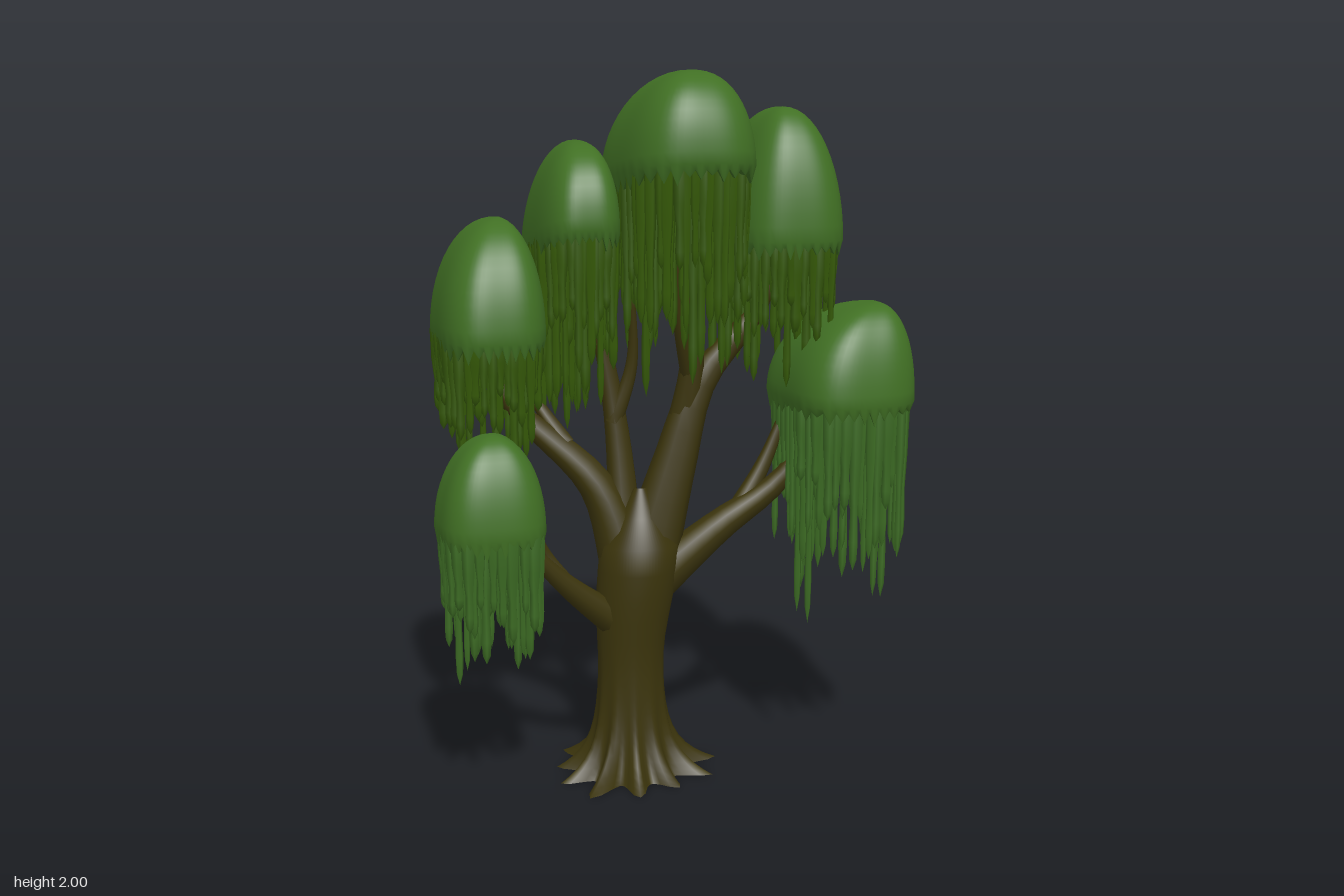
import * as THREE from 'three';
import { mergeGeometries } from 'three/addons/utils/BufferGeometryUtils.js';

const mat = (name, color) => {
  const m = new THREE.MeshStandardMaterial({ color });
  m.name = name;
  return m;
};

// Small seeded generator for strand lengths and wobble
function seeded(seed) {
  let s = seed * 7919 + 17;
  return () => (s = (s * 16807) % 2147483647) / 2147483647;
}

// Skin a list of closed rings, ordered so that faces point outward
function loft(rings) {
  const n = rings[0].length, idx = [];
  for (let i = 0; i < rings.length - 1; i++) {
    for (let j = 0; j < n; j++) {
      const a = i * n + j, b = i * n + (j + 1) % n;
      idx.push(a, b, a + n, b, b + n, a + n);
    }
  }
  const g = new THREE.BufferGeometry();
  g.setAttribute('position', new THREE.Float32BufferAttribute(rings.flat(2), 3));
  g.setIndex(idx);
  g.computeVertexNormals();
  return g;
}

const ring = (n, fn) => Array.from({ length: n }, (_, j) => fn(j / n * Math.PI * 2, j));

// Rounded-box footprint: radius of a superellipse in direction t
const footprint = t => (Math.abs(Math.cos(t)) ** 3.4 + Math.abs(Math.sin(t)) ** 3.4) ** (-1 / 3.4);

// Tapered limb along a smooth curve
function limb(radius, ...points) {
  const curve = new THREE.CatmullRomCurve3(points.map(p => new THREE.Vector3(...p)));
  const steps = 16, f = curve.computeFrenetFrames(steps), rings = [];
  const tip = 0.006 + radius * 0.1;
  for (let i = 0; i <= steps; i++) {
    const u = i / steps, c = curve.getPointAt(u);
    const r = i === steps ? 0.001 : tip + (radius - tip) * (1 - u) ** 1.3;
    rings.push(ring(10, t => c.clone()
      .addScaledVector(f.normals[i], Math.cos(t) * r)
      .addScaledVector(f.binormals[i], Math.sin(t) * r).toArray()));
  }
  return loft(rings);
}

// Trunk that swells below the fork and flares into star-shaped roots
function trunkGeometry() {
  const rings = [], rows = 18;
  const { smoothstep } = THREE.MathUtils;
  for (let i = 0; i <= rows; i++) {
    const y = 0.84 * (1 - i / rows) ** 1.8;
    const flare = Math.exp(-y / 0.09), toe = Math.exp(-y / 0.045);
    const r = (0.092 + 0.022 * smoothstep(y, 0.3, 0.6)) * (1 - 0.85 * smoothstep(y, 0.66, 0.84)) + 0.06 * flare;
    const x = -0.115 + 0.03 * smoothstep(y, 0.35, 0.75);
    rings.push(ring(77, t => {
      const lobe = (0.5 + 0.5 * Math.cos(11 * t)) ** 1.5 * (0.8 + 0.2 * Math.sin(3 * t + 1));
      const q = r + (0.05 * flare + 0.06 * toe) * lobe;
      return [x + q * Math.cos(t), y, 0.045 + q * 0.94 * Math.sin(t)];
    }));
  }
  const rim = rings[rows];
  return mergeGeometries([loft(rings), loft([rim, rim.map(() => [-0.115, 0, 0.045])])]);
}

// Leafy dome with an off-centre peak, a ragged tucked-in rim and a closed underside
function domeGeometry(c, rand) {
  const n = 72, rows = 14, rings = [];
  const jag = ring(n, (t, j) => (j % 2 ? -0.03 : 0) * (0.4 + rand()));
  for (let i = 0; i <= rows + 1; i++) {
    const a = Math.min(i / rows, 1) * Math.PI / 2, s = Math.sin(a);
    const tuck = i > rows ? 0.95 : 1;
    rings.push(ring(n, (t, j) => {
      const k = tuck * footprint(t) * (1 + 0.015 * Math.sin(3 * t + c.seed + a * 2));
      const dz = c.rz * k * s ** 0.8 * Math.sin(t);
      return [
        c.x + c.rx * k * s * Math.cos(t) + c.px * (1 - s),
        c.rim + (c.top - c.rim) * Math.cos(a) + c.tilt * dz * s + (i > rows ? jag[j] - 0.015 : 0),
        c.z + dz + c.pz * (1 - s),
      ];
    }));
  }
  const rim = rings[rows + 1];
  return mergeGeometries([loft(rings), loft([rim, rim.map(() => [c.x, c.rim + 0.04, c.z])])]);
}

// One pointed strand hanging from the origin
function strand(length, radius) {
  const profile = [[0, 1], [0.6, 0.93], [0.75, 0.82], [0.6, 0.6], [1, 0.35], [1.15, 0], [0.6, -0.08]];
  return new THREE.LatheGeometry(profile.map(([r, h]) => new THREE.Vector2(r * radius, -h * length)), 5);
}

// Curtain of strands in three nested rows, the inner ones longer
function strandsGeometry(c, rand) {
  const parts = [];
  for (const [scale, share, reach] of [[0.87, 1, 0.72], [0.66, 0.55, 1], [0.35, 0.25, 0.9]]) {
    const n = Math.round((c.rx + c.rz) * 105 * share);
    for (let j = 0; j < n; j++) {
      const t = (j + 0.5 * rand()) / n * Math.PI * 2, k = footprint(t) * scale;
      const dz = c.rz * k * Math.sin(t);
      const g = strand(reach * (c.min + (c.max - c.min) * rand() ** 1.2), 0.012 + 0.007 * rand());
      g.rotateY(rand() * 6);
      g.translate(c.x + c.rx * k * Math.cos(t), c.rim + c.tilt * dz, c.z + dz);
      parts.push(g);
    }
  }
  return mergeGeometries(parts);
}

export function createModel() {
  const bark = mat('bark', 0x3b340c);
  const leaf = mat('leaf green', 0x417024);
  const upperVine = mat('upper vine green', 0x365a08);
  const lowerVine = mat('lower vine green', 0x3d6c24);

  const tree = new THREE.Group();
  tree.name = 'willowTree';
  const add = (parent, name, geometry, material) => {
    const m = new THREE.Mesh(geometry, material);
    m.name = name;
    parent.add(m);
  };

  add(tree, 'trunk', trunkGeometry(), bark);

  // Main branches, then the twigs that fork from them
  const branches = new THREE.Group();
  branches.name = 'branches';
  tree.add(branches);
  const branch = (name, ...shape) => add(branches, name, limb(...shape), bark);
  branch('upperLeftBranch', 0.09, [-0.07, 0.6, 0.04], [0.02, 0.9, 0.03], [0.1, 1.13, 0.02], [0.29, 1.36, 0.01], [0.33, 1.6, 0.01]);
  branch('topBranch', 0.045, [0.04, 0.98, 0.02], [0.07, 1.2, 0.04], [0.04, 1.78, 0.06]);
  branch('rearBranch', 0.055, [-0.12, 0.62, 0.03], [-0.14, 1.05, -0.03], [-0.24, 1.6, -0.07]);
  branch('upperRightBranch', 0.075, [-0.12, 0.58, 0.04], [-0.2, 0.84, 0], [-0.44, 1.1, -0.09], [-0.5, 1.35, -0.1]);
  branch('lowerLeftBranch', 0.07, [-0.07, 0.54, 0.04], [0.14, 0.71, 0.06], [0.33, 0.85, 0.08], [0.5, 1.12, 0.1]);
  branch('lowerRightBranch', 0.055, [-0.12, 0.42, 0.05], [-0.33, 0.6, 0.1], [-0.52, 0.82, 0.14]);
  branch('topTwig', 0.026, [0.07, 1.12, 0.03], [0.01, 1.35, 0.1], [-0.02, 1.72, 0.15]);
  branch('rearTwig', 0.026, [-0.145, 1.02, -0.02], [-0.095, 1.18, -0.01], [-0.1, 1.4, 0.02]);
  branch('upperRightTwig', 0.025, [-0.28, 0.96, -0.03], [-0.36, 1.1, -0.12], [-0.41, 1.3, -0.2]);
  branch('lowerLeftTwig', 0.032, [0.2, 0.75, 0.06], [0.29, 0.89, 0.04], [0.4, 1.14, 0.02]);
  branch('lowerRightTwig', 0.025, [-0.28, 0.55, 0.09], [-0.37, 0.68, 0.08], [-0.42, 0.8, 0.1]);

  // Leaf clumps: centre, half sizes, peak offset, rim and top heights, strand lengths, rim slope
  let seed = 0;
  const clump = (name, vine, [x, z], [rx, rz], [px, pz], [rim, top], [min, max], tilt) => {
    const c = { seed: ++seed, x, z, rx, rz, px, pz, rim, top, min, max, tilt };
    const rand = seeded(seed), group = new THREE.Group();
    group.name = name;
    add(group, 'leafDome', domeGeometry(c, rand), leaf);
    add(group, 'hangingStrands', strandsGeometry(c, rand), vine);
    tree.add(group);
  };
  clump('topClump', upperVine, [0.02, 0.05], [0.18, 0.28], [0.02, 0.06], [1.72, 2], [0.35, 0.62], 0.15);
  clump('upperLeftClump', upperVine, [0.33, 0.01], [0.15, 0.225], [0, 0.03], [1.54, 1.9], [0.22, 0.44], 0);
  clump('rearClump', upperVine, [-0.26, -0.065], [0.11, 0.255], [0.03, -0.03], [1.52, 1.81], [0.28, 0.54], 0.25);
  clump('upperRightClump', upperVine, [-0.49, -0.1], [0.145, 0.24], [0.04, -0.02], [1.28, 1.6], [0.18, 0.4], 0);
  clump('lowerLeftClump', lowerVine, [0.495, 0.1], [0.18, 0.23], [0.08, 0.06], [1.09, 1.36], [0.3, 0.66], 0);
  clump('lowerRightClump', lowerVine, [-0.535, 0.14], [0.145, 0.145], [0.01, 0], [0.78, 1.04], [0.22, 0.45], 0);

  return tree;
}
